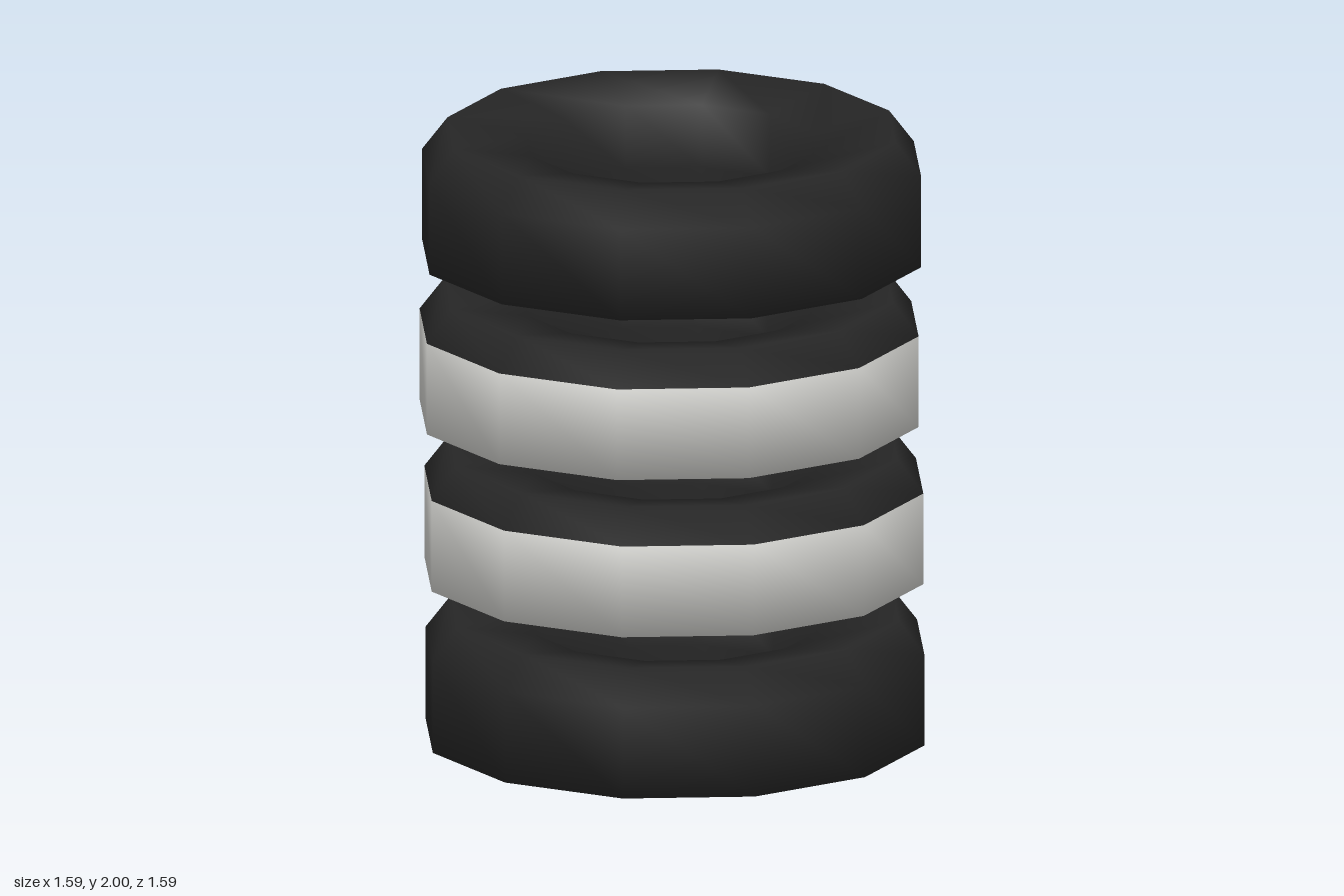
import * as THREE from 'three';

const SIDES = 12;

// Tyre cross-section (radius, height), closed, starting halfway up the inner wall
const PROFILE = [
  [0.455, 0.23], [0.455, 0.06], [0.47, 0], [0.785, 0.08],
  [0.785, 0.37], [0.705, 0.475], [0.455, 0.43], [0.455, 0.23],
].map(([r, y]) => new THREE.Vector2(r, y));
const TREAD = 3; // index of the profile span that forms the outer tread

export function createModel() {
  const rubber = new THREE.MeshStandardMaterial({ color: 0x262626 });
  rubber.name = 'blackRubber';
  const paint = new THREE.MeshStandardMaterial({ color: 0xdadad6 });
  paint.name = 'whitePaint';

  const plainTyre = new THREE.LatheGeometry(PROFILE, SIDES);

  // Same tyre, with the tread faces of every segment assigned to the paint
  const bandedTyre = plainTyre.clone();
  const spans = PROFILE.length - 1;
  for (let i = 0; i < SIDES; i++) {
    const start = i * spans * 6;
    bandedTyre.addGroup(start, TREAD * 6, 0);
    bandedTyre.addGroup(start + TREAD * 6, 6, 1);
    bandedTyre.addGroup(start + (TREAD + 1) * 6, (spans - TREAD - 1) * 6, 0);
  }

  // Tyres from the ground up, each slightly off centre
  const stack = [
    { name: 'bottomTyre', banded: false, pos: [0.005, 0, 0.012] },
    { name: 'lowerBandedTyre', banded: true, pos: [0.008, 0.51, -0.008] },
    { name: 'upperBandedTyre', banded: true, pos: [-0.012, 1.018, 0.006] },
    { name: 'topTyre', banded: false, pos: [0, 1.525, -0.005] },
  ];

  const group = new THREE.Group();
  group.name = 'tyreStack';
  for (const { name, banded, pos } of stack) {
    const tyre = banded
      ? new THREE.Mesh(bandedTyre, [rubber, paint])
      : new THREE.Mesh(plainTyre, rubber);
    tyre.name = name;
    tyre.position.set(...pos);
    group.add(tyre);
  }
  return group;
}
